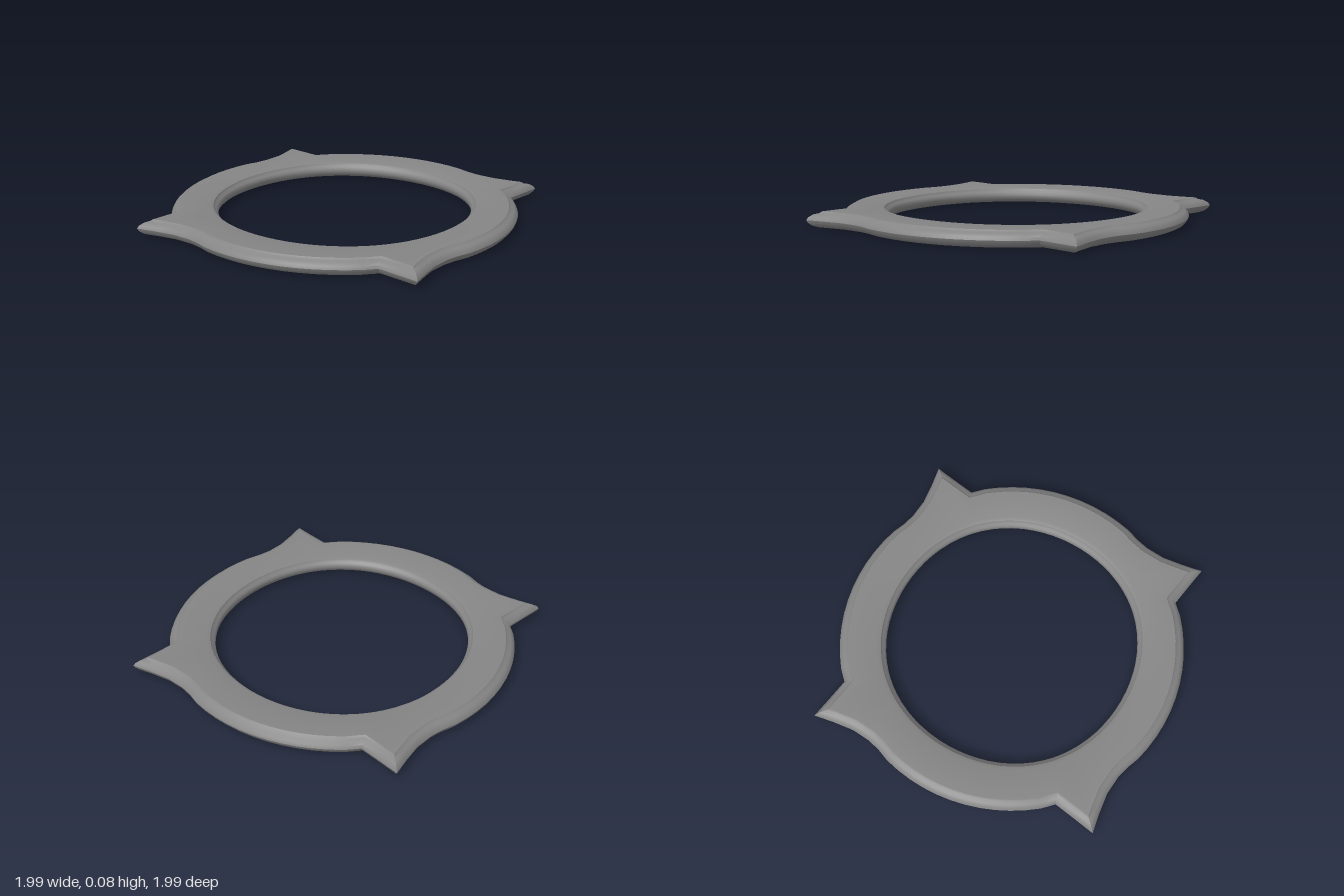
import * as THREE from 'three';
import { toCreasedNormals } from 'three/addons/utils/BufferGeometryUtils.js';

// Outer outline as [x, z]: one quarter with a swept spike, repeated four times
function outline() {
  const quarter = [[0, 0.825], [0.065, 0.91], [0.13, 0.997], [0.185, 0.915], [0.245, 0.835], [0.315, 0.772], [0.37, 0.738]];
  const steps = 12, start = Math.atan2(0.43, 0.71);
  for (let i = 0; i < steps; i++) {
    const a = start + (Math.PI / 2 - start) * i / steps;
    quarter.push([0.83 * Math.sin(a), 0.83 * Math.cos(a)]);
  }
  const points = [];
  for (let k = 0; k < 4; k++) {
    for (let [x, z] of quarter) {
      for (let r = 0; r < k; r++) [x, z] = [z, -x];
      points.push(new THREE.Vector2(x, z));
    }
  }
  return points;
}

// Moves the outline inward by d with mitred corners
function inset(points, d) {
  const n = points.length;
  return points.map((p, i) => {
    const e1 = p.clone().sub(points[(i + n - 1) % n]).normalize();
    const e2 = points[(i + 1) % n].clone().sub(p).normalize();
    const n1 = new THREE.Vector2(e1.y, -e1.x), n2 = new THREE.Vector2(e2.y, -e2.x);
    const m = n1.clone().add(n2).normalize();
    return p.clone().addScaledVector(m, d / m.dot(n1));
  });
}

// Points round the hole at the outline's angles, very slightly four-lobed
const hole = (points, r) => points.map((p) => p.clone().setLength(r + 0.005 * Math.cos(4 * p.angle())));

export function createModel() {
  const group = new THREE.Group();
  const rim = outline();

  // Cross-section: rounded outer edge, small step to the top face, stepped and rounded hole
  const outer = [[0.034, 0], [0.018, 0.007], [0.005, 0.022], [0, 0.035], [0.006, 0.049], [0.02, 0.062], [0.036, 0.067], [0.043, 0.075]];
  const inner = [[0.645, 0.075], [0.626, 0.069], [0.621, 0.058], [0.61, 0.052], [0.604, 0.04], [0.604, 0.028], [0.611, 0.012], [0.63, 0]];
  const loops = [
    ...outer.map(([d, y]) => [inset(rim, d), y]),
    ...inner.map(([r, y]) => [hole(rim, r), y]),
  ];

  const n = rim.length, m = loops.length;
  const positions = loops.flatMap(([pts, y]) => pts.flatMap((p) => [p.x, y, p.y]));
  const index = [];
  for (let j = 0; j < m; j++) {
    for (let i = 0; i < n; i++) {
      const a = j * n + i, b = j * n + (i + 1) % n;
      const k = (j + 1) % m, c = k * n + (i + 1) % n, d = k * n + i;
      index.push(a, b, c, a, c, d);
    }
  }
  const geometry = new THREE.BufferGeometry();
  geometry.setAttribute('position', new THREE.Float32BufferAttribute(positions, 3));
  geometry.setIndex(index);

  const ring = new THREE.Mesh(
    toCreasedNormals(geometry, 0.7),
    new THREE.MeshStandardMaterial({ color: 0x858585 })
  );
  ring.name = 'spikedRing';
  group.add(ring);
  return group;
}
